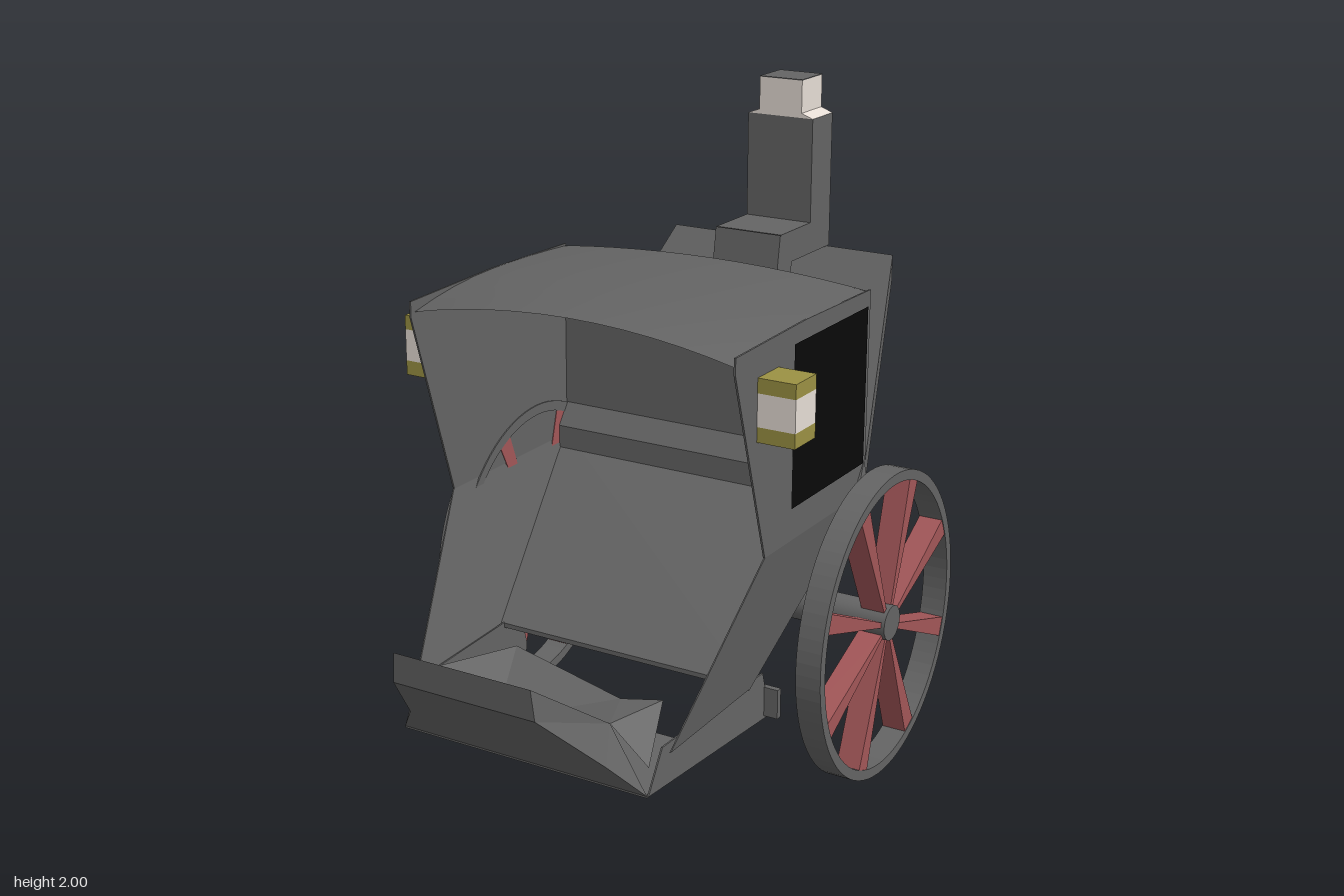
import * as THREE from 'three';
import { ConvexGeometry } from 'three/addons/geometries/ConvexGeometry.js';

const mat = (name, color, side = THREE.FrontSide) => {
  const m = new THREE.MeshStandardMaterial({ color, side });
  m.name = name;
  return m;
};

export function createModel() {
  const grey = mat('carriage grey', 0x646464, THREE.DoubleSide);
  const black = mat('window black', 0x090909);
  const red = mat('spoke red', 0xa25658);
  const cream = mat('cream', 0xe6ddd5);
  const brass = mat('brass', 0x9b9143);

  const model = new THREE.Group();
  model.name = 'carriage';
  const add = (name, geo, material, parent = model) => {
    const m = new THREE.Mesh(geo, material);
    m.name = name;
    parent.add(m);
    return m;
  };
  // Box given by its limits
  const box = (x0, x1, y0, y1, z0, z1) =>
    new THREE.BoxGeometry(x1 - x0, y1 - y0, z1 - z0)
      .translate((x0 + x1) / 2, (y0 + y1) / 2, (z0 + z1) / 2);
  // Convex solid round a list of corners
  const hull = (pts) => new ConvexGeometry(pts.map((p) => new THREE.Vector3(...p)));
  // Convex solid from rows [y, z, xLeft, xRight]
  const rows = (list) => hull(list.flatMap(([y, z, a, b]) => [[a, y, z], [b, y, z]]));
  const outline = (pts) => new THREE.Shape(pts.map((p) => new THREE.Vector2(...p)));
  // Outline in (z, y) extruded from x0 to x1
  const profile = (pts, x0, x1) =>
    new THREE.ExtrudeGeometry(outline(pts), { depth: x1 - x0, bevelEnabled: false })
      .rotateY(-Math.PI / 2).translate(x1, 0, 0);
  // Loose flat-shaded triangles
  const facets = (tris) => {
    const g = new THREE.BufferGeometry();
    g.setAttribute('position', new THREE.Float32BufferAttribute(tris.flat(2), 3));
    g.computeVertexNormals();
    return g;
  };

  const L = -0.59, R = 0.505, MID = -0.0425, HALF = 0.5475;

  // Cabin sides with dark windows
  const sideLine = [[0.385, 1.46], [0.385, 1.41], [0.2, 0.82], [-0.435, 0.82], [-0.435, 1.462], [-0.03, 1.47]];
  for (const [name, x0, win] of [['right', L, L - 0.003], ['left', R - 0.006, R + 0.003]]) {
    add(name + 'CabinSide', profile(sideLine, x0, x0 + 0.006), grey);
    const pane = new THREE.PlaneGeometry(0.465, 0.495);
    pane.rotateY(win > 0 ? Math.PI / 2 : -Math.PI / 2).translate(win, 1.1675, -0.1825);
    add(name + 'Window', pane, black);
  }

  // Back wall with arched top and a shut hatch
  const arch = [];
  for (let i = 0; i <= 12; i++) {
    const u = 1 - i / 6;
    arch.push([MID + HALF * u, 1.485 - 0.03 * u * u]);
  }
  add('backWall', new THREE.ExtrudeGeometry(outline([[L, 0.82], [R, 0.82], ...arch]), { depth: 0.006, bevelEnabled: false })
    .translate(0, 0, -0.435), grey);
  add('hatch', box(-0.3, 0.2, 1.08, 1.3, -0.431, -0.425), grey);
  add('backLedge', rows([[0.76, -0.38, -0.585, 0.515], [0.86, -0.43, -0.585, 0.515],
    [0.86, -0.38, -0.585, 0.515], [0.93, -0.43, L, R]]), grey);

  // Arched roof, its front corners drooping
  const roof = new THREE.PlaneGeometry(2 * HALF, 0.805, 12, 8).rotateX(-Math.PI / 2);
  const rp = roof.attributes.position;
  for (let i = 0; i < rp.count; i++) {
    const u = rp.getX(i) / HALF, w = rp.getZ(i) / 0.4025;
    rp.setY(i, 1.5 - 0.032 * u * u - 0.014 * w * w - 0.03 * Math.max(0, w) ** 2 * u * u);
  }
  roof.translate(MID, 0, -0.035);
  roof.computeVertexNormals();
  add('roof', roof, grey);

  // Tapered lower sides
  const taper = (y) => 0.1 * (0.82 - y) / 0.49;
  const lower = [[0.2, 0.82], [0.55, 0.33], [0.1, 0.345], [-0.43, 0.82]];
  for (const [name, s, edge] of [['right', -1, L], ['left', 1, R]]) {
    add(name + 'LowerSide', hull(lower.flatMap(([z, y]) => {
      const x = edge - s * taper(y);
      return [[x, y, z], [x - s * 0.004, y, z]];
    })), grey);
  }

  // Low rails beside the floor, and the step at the left
  const rail = [[0.62, 0.215], [0.55, 0.34], [0.01, 0.36], [-0.025, 0.24], [-0.02, 0.205]];
  for (const [name, front, back] of [['right', -0.48, -0.485], ['left', 0.37, 0.4]]) {
    add(name + 'FloorRail', hull(rail.flatMap(([z, y]) => {
      const x = THREE.MathUtils.lerp(back, front, (z + 0.025) / 0.645);
      return [[x, y, z], [x + 0.005, y, z]];
    })), grey);
  }
  add('leftStep', box(0.39, 0.45, 0.215, 0.31, -0.02, 0), grey);

  // Sloping back of the lower cabin, and the floor
  add('lowerBack', rows([[0.83, -0.43, L, R], [0.815, -0.43, L, R],
    [0.355, 0.1, -0.492, 0.407], [0.34, 0.1, -0.492, 0.407]]), grey);
  add('floor', box(-0.48, 0.37, 0.209, 0.217, 0.27, 0.62), grey);

  // Splashboard: underside, lip, inner face and closed ends
  const board = [
    [0.215, 0.62, -0.48, 0.37], [0.33, 0.72, -0.38, 0.3],
    [0.52, 0.905, -0.29, 0.19], [0.615, 0.91, -0.28, 0.18], [0.44, 0.67, -0.38, 0.28],
  ].map(([y, z, a, b]) => [[a, y, z], [b, y, z]]);
  const boardTris = [];
  for (let i = 0; i < 4; i++) {
    const [[a, b], [d, c]] = [board[i], board[i + 1]];
    boardTris.push([a, b, c], [a, c, d]);
  }
  for (let i = 0; i < 3; i++) {
    boardTris.push([board[4][0], board[i][0], board[i + 1][0]], [board[4][1], board[i + 1][1], board[i][1]]);
  }
  add('splashboard', facets(boardTris), grey);

  // Crumpled foot rug
  const a = [-0.38, 0.44, 0.67], b = [-0.2, 0.47, 0.43], c = [0.22, 0.44, 0.52], d = [0.28, 0.44, 0.67];
  const e = [-0.1, 0.36, 0.68], f = [0.35, 0.46, 0.5], g = [-0.38, 0.33, 0.52], h = [0.37, 0.3, 0.61];
  add('footRug', facets([[a, e, b], [b, e, c], [c, e, d], [c, d, f], [f, d, h], [a, b, g], [g, b, [0.1, 0.3, 0.55]]]), grey);

  // Driver's sloping platform
  add('driverPlatform', rows([[1.45, -0.89, -0.44, 0.36], [1.365, -0.89, -0.44, 0.36],
    [0.92, -0.435, L, R], [0.82, -0.435, L, R]]), grey);

  // Driver's seat: foot, shelf, post and cap
  add('driverSeat', profile([[-0.905, 1.45], [-0.645, 1.45], [-0.575, 1.53], [-0.575, 1.55],
    [-0.77, 1.55], [-0.77, 1.88], [-0.905, 1.88]], -0.105, 0.125), grey);
  add('driverSeatFoot', profile([[-0.57, 1.55], [-0.65, 1.45], [-0.565, 1.07], [-0.495, 1.07]], -0.105, 0.125), grey);
  const capRow = (y, x0, x1) => [[y, -0.905, x0, x1], [y, -0.77, x0, x1]];
  add('seatCapFlare', rows([...capRow(1.88, -0.105, 0.125), ...capRow(1.895, -0.065, 0.085)]), cream);
  add('seatCap', box(-0.065, 0.085, 1.89, 1.997, -0.905, -0.77), cream);
  add('seatCapTop', box(-0.065, 0.085, 1.997, 2, -0.905, -0.77), grey);

  // Side lamps
  for (const [name, x0, x1] of [['right', -0.705, -0.59], ['left', 0.505, 0.624]]) {
    const lamp = new THREE.Group();
    lamp.name = name + 'Lamp';
    model.add(lamp);
    add('lampBase', box(x0, x1, 1.185, 1.23, 0.14, 0.26), brass, lamp);
    add('lampGlass', box(x0, x1, 1.23, 1.328, 0.14, 0.26), cream, lamp);
    add('lampTop', box(x0, x1, 1.328, 1.372, 0.14, 0.26), brass, lamp);
  }

  // Axle and slightly oval wheels
  add('axle', new THREE.CylinderGeometry(0.055, 0.055, 1.37, 20).rotateZ(Math.PI / 2).translate(0.014, 0.493, -0.255), grey);
  const ry = 0.4825, rz = 0.45;
  for (const [name, cx] of [['right', -0.62], ['left', 0.65]]) {
    const wheel = new THREE.Group();
    wheel.name = name + 'Wheel';
    wheel.position.set(cx, ry, -0.253);
    wheel.scale.set(1, ry / rz, 1);
    model.add(wheel);
    const ring = new THREE.Shape().absarc(0, 0, rz, 0, Math.PI * 2);
    ring.holes.push(new THREE.Path().absarc(0, 0, rz - 0.03, 0, Math.PI * 2, true));
    add('rim', new THREE.ExtrudeGeometry(ring, { depth: 0.08, bevelEnabled: false, curveSegments: 40 })
      .translate(0, 0, -0.04).rotateY(Math.PI / 2), grey, wheel);
    for (let i = 0; i < 8; i++) {
      const pts = [];
      for (const x of [-0.038, 0.038]) for (const t of [-1, 1]) {
        pts.push([x, 0.04, t * 0.007], [x, rz - 0.025, t * 0.029]);
      }
      add('spoke', hull(pts).rotateX((i + 0.5) * Math.PI / 4 + 0.05), red, wheel);
    }
  }
  return model;
}
